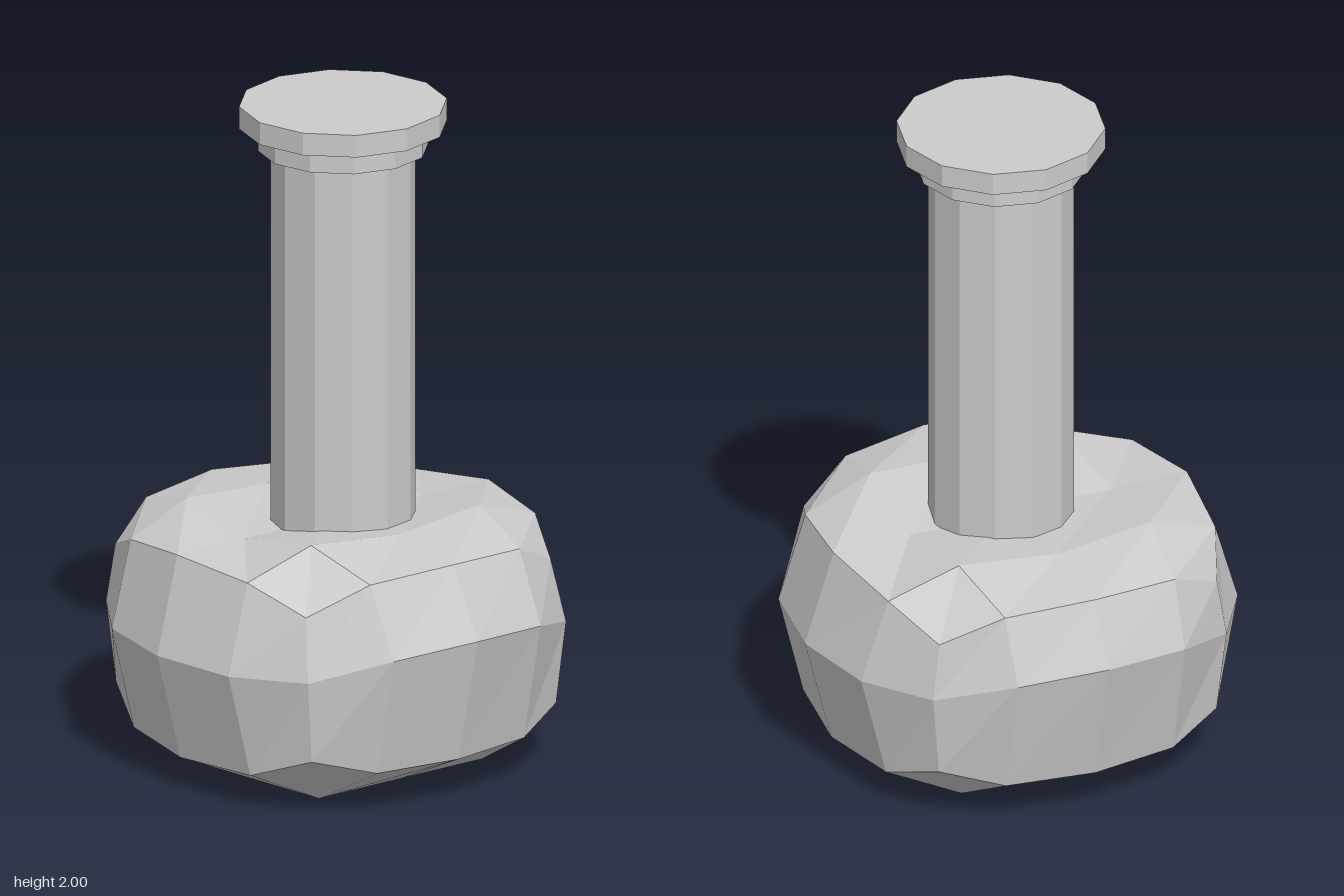
import * as THREE from 'three';

const grey = new THREE.MeshStandardMaterial({ color: 0xcccccc, flatShading: true });
grey.name = 'stone grey';

// One quarter of each layer of the bulb, keyed by grid step from the centre: [x, y, z]
const TOP = {
  '00': [0, 0.72, 0], '10': [0.32, 0.745, 0], '01': [0, 0.72, 0.325], '11': [0.3, 0.768, 0.31],
  '20': [0.58, 0.72, 0], '21': [0.538, 0.702, 0.275], '22': [0.458, 0.615, 0.45],
  '12': [0.28, 0.692, 0.53], '02': [0, 0.72, 0.573],
};
const MIDDLE = {
  '20': [0.68, 0.52, 0], '21': [0.63, 0.5, 0.27], '22': [0.485, 0.435, 0.475],
  '12': [0.28, 0.43, 0.61], '02': [0, 0.43, 0.658],
};
const BOTTOM = {
  '00': [0, 0.012, 0], '10': [0.32, 0.005, 0], '01': [0, 0.01, 0.31], '11': [0.31, 0, 0.3],
  '20': [0.59, 0.135, 0], '21': [0.55, 0.135, 0.27], '22': [0.47, 0.185, 0.45],
  '12': [0.28, 0.11, 0.53], '02': [0, 0.1, 0.573],
};

// Mirrors a quarter layer to any grid step; the top leans very slightly
function point(layer, i, j) {
  const [x, y, z] = layer[`${Math.abs(i)}${Math.abs(j)}`];
  const lean = layer === TOP ? 1 : 0;
  return [x * Math.sign(i) - 0.015 * lean, y + 0.007 * Math.sign(i) * lean, z * Math.sign(j)];
}

function bulbGeometry() {
  const positions = [];
  const quad = (a, b, c, d) => positions.push(...a, ...b, ...c, ...a, ...c, ...d);

  // Top and underside grids
  for (let i = -2; i < 2; i++) {
    for (let j = -2; j < 2; j++) {
      const corners = [[i, j], [i, j + 1], [i + 1, j + 1], [i + 1, j]];
      quad(...corners.map(([a, b]) => point(TOP, a, b)));
      quad(...corners.reverse().map(([a, b]) => point(BOTTOM, a, b)));
    }
  }

  // Sixteen-sided wall in two bands
  const ring = [];
  for (let k = -2; k < 2; k++) ring.push([k, 2]);
  for (let k = 2; k > -2; k--) ring.push([2, k]);
  for (let k = 2; k > -2; k--) ring.push([k, -2]);
  for (let k = -2; k < 2; k++) ring.push([-2, k]);
  for (const [low, high] of [[BOTTOM, MIDDLE], [MIDDLE, TOP]]) {
    ring.forEach((p, k) => {
      const q = ring[(k + 1) % ring.length];
      quad(point(low, ...p), point(low, ...q), point(high, ...q), point(high, ...p));
    });
  }

  const geometry = new THREE.BufferGeometry();
  geometry.setAttribute('position', new THREE.Float32BufferAttribute(positions, 3));
  geometry.computeVertexNormals();
  return geometry;
}

export function createModel() {
  const group = new THREE.Group();
  group.name = 'bottle';

  const bulb = new THREE.Mesh(bulbGeometry(), grey);
  bulb.name = 'bulb';
  group.add(bulb);

  // Twelve-sided neck and stepped lip, a touch off centre
  const tube = (name, radius, bottom, top) => {
    const mesh = new THREE.Mesh(new THREE.CylinderGeometry(radius, radius, top - bottom, 12), grey);
    mesh.position.set(0.01, (bottom + top) / 2, -0.018);
    mesh.name = name;
    group.add(mesh);
  };
  tube('neck', 0.214, 0.66, 1.865);
  tube('lowerLip', 0.251, 1.862, 1.932);
  tube('upperLip', 0.306, 1.932, 2);

  return group;
}
